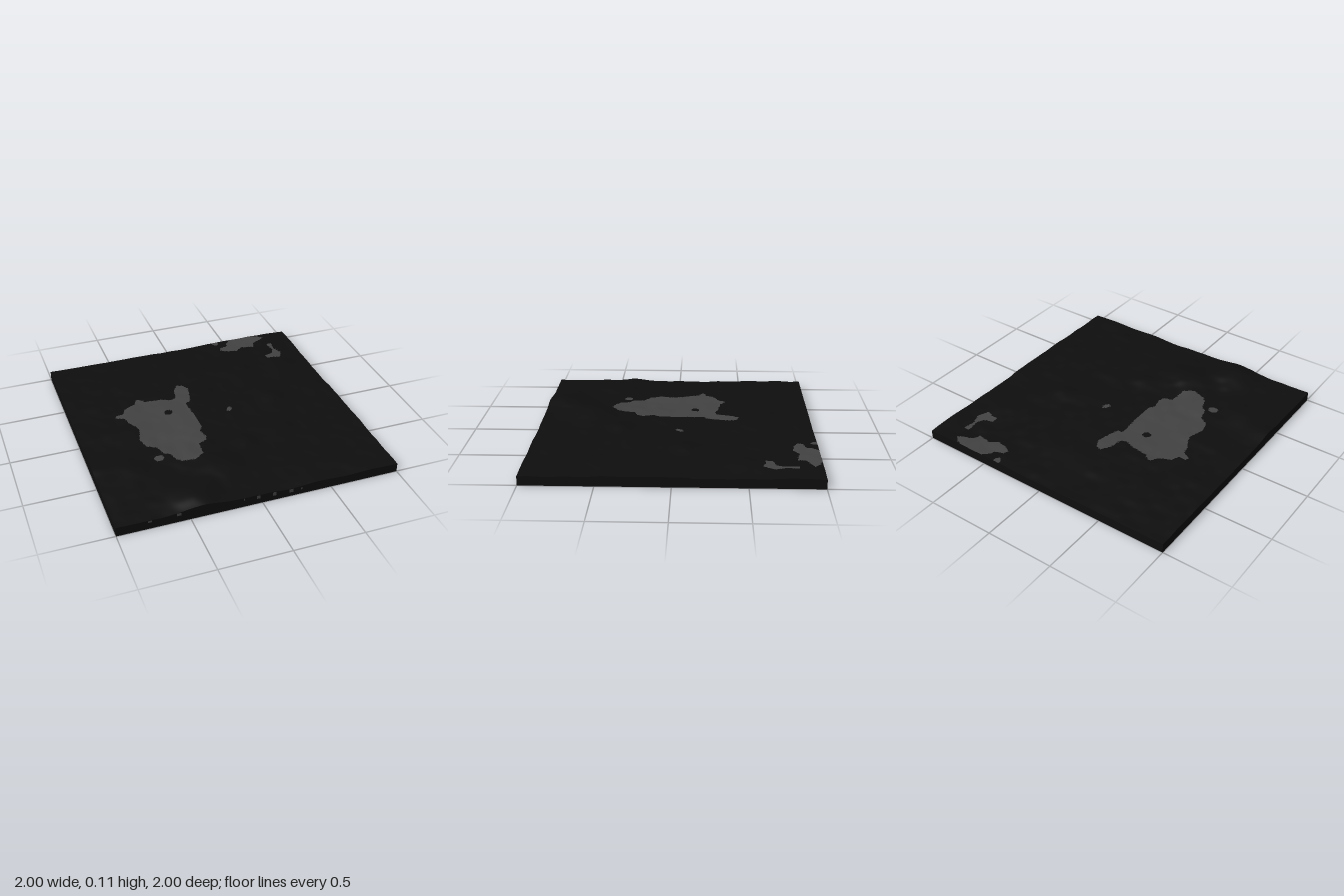
import * as THREE from 'three';

const N = 200;            // terrain cells per side
const LEVEL = 0.067;      // mean ground height

const outline = (flat) => {
  const pts = [];
  for (let i = 0; i < flat.length; i += 2) pts.push(new THREE.Vector2(flat[i], flat[i + 1]));
  return pts;
};
const disc = (x, z, r) => Array.from({ length: 14 }, (_, i) => {
  const a = i / 14 * Math.PI * 2;
  return new THREE.Vector2(x + r * Math.cos(a), z + r * Math.sin(a));
});

// Pale patches as (x, z) outlines
const patches = [
  outline([-.48, -.37, -.45, -.37, -.41, -.33, -.3, -.32, -.22, -.29, -.18, -.31, -.16, -.41, -.12, -.47, -.08, -.46,
    -.05, -.4, -.07, -.3, -.09, -.23, -.13, -.21, -.12, 0, -.12, .13, -.15, .17, -.13, .26, -.15, .3, -.21, .32,
    -.22, .45, -.29, .5, -.38, .48, -.42, .44, -.44, .37, -.48, .35, -.5, .26, -.57, .22, -.59, .13, -.56, .02,
    -.57, -.03, -.61, -.1, -.62, -.16, -.68, -.19, -.67, -.22, -.62, -.22, -.59, -.28, -.5, -.32]),
  disc(-.525, .39, .034),
  outline([.12, -.01, .14, -.05, .17, -.06, .175, -.03, .15, 0]),
  outline([.52, -1, .47, -.95, .47, -.92, .4, -.9, .39, -.86, .45, -.83, .52, -.82, .57, -.86, .68, -.84,
    .69, -.89, .75, -.92, .8, -.94, .77, -.98, .72, -1]),
  outline([.36, -1, .36, -.97, .39, -.95, .41, -.97, .41, -1]),
  outline([.79, -.84, .83, -.84, .82, -.75, .85, -.68, .81, -.6, .76, -.62, .71, -.62, .71, -.67, .78, -.69, .8, -.74]),
];
const darkSpot = disc(-.29, -.14, .03);

function inside(poly, x, z) {
  let hit = false;
  for (let i = 0, j = poly.length - 1; i < poly.length; j = i++) {
    const a = poly[i], b = poly[j];
    if ((a.y > z) !== (b.y > z) && x < (b.x - a.x) * (z - a.y) / (b.y - a.y) + a.x) hit = !hit;
  }
  return hit;
}
const isPale = (x, z) => patches.some((p) => inside(p, x, z)) && !inside(darkSpot, x, z);

// Smooth seeded value noise, -1 to 1
const hash = (i, j) => {
  const s = Math.sin(i * 127.1 + j * 311.7) * 43758.5453;
  return (s - Math.floor(s)) * 2 - 1;
};
function noise(x, z) {
  const i = Math.floor(x), j = Math.floor(z);
  const ease = (t) => t * t * (3 - 2 * t);
  const u = ease(x - i), v = ease(z - j), mix = THREE.MathUtils.lerp;
  return mix(mix(hash(i, j), hash(i + 1, j), u), mix(hash(i, j + 1), hash(i + 1, j + 1), u), v);
}

// Mounds: x, z, height, radius
const mounds = [
  [-.42, .88, .042, .12], [-.2, .63, .03, .12], [-.72, .45, .016, .09], [-.98, .36, .014, .08], [-.05, .62, .015, .1],
  [.11, .4, .02, .06], [.5, -.08, .016, .07], [.75, -.5, .012, .08], [.3, .3, .01, .08],
];
function groundHeight(x, z) {
  let y = LEVEL + .005 * noise(x * 5 + 9, z * 5 + 4) + .003 * noise(x * 13, z * 13);
  for (const [mx, mz, h, r] of mounds) y += h * Math.exp(-((x - mx) ** 2 + (z - mz) ** 2) / (2 * r * r));
  return y;
}

// Height field with one geometry group per colour
function terrainGeometry() {
  const geo = new THREE.PlaneGeometry(2, 2, N, N).rotateX(-Math.PI / 2);
  const pos = geo.attributes.position;
  for (let i = 0; i < pos.count; i++) pos.setY(i, groundHeight(pos.getX(i), pos.getZ(i)));
  const index = geo.index.array, dark = [], pale = [];
  for (let t = 0; t < index.length; t += 3) {
    let x = 0, z = 0;
    for (let k = 0; k < 3; k++) { x += pos.getX(index[t + k]) / 3; z += pos.getZ(index[t + k]) / 3; }
    (isPale(x, z) ? pale : dark).push(index[t], index[t + 1], index[t + 2]);
  }
  geo.setIndex(dark.concat(pale));
  geo.addGroup(0, dark.length, 0);
  geo.addGroup(dark.length, pale.length, 1);
  geo.computeVertexNormals();
  return geo;
}

// Wall strip from the base up to the terrain edge
function wallGeometry(edge) {
  const geo = new THREE.PlaneGeometry(2, 1, N, 1);
  const pos = geo.attributes.position;
  for (let i = 0; i < pos.count; i++) {
    const [x, z] = edge(pos.getX(i));
    pos.setXYZ(i, x, pos.getY(i) > 0 ? groundHeight(x, z) : 0, z);
  }
  geo.computeVertexNormals();
  return geo;
}

export function createModel() {
  const group = new THREE.Group();
  const ground = new THREE.MeshStandardMaterial({ color: 0x0e0e0e });
  ground.name = 'dark ground';
  const stone = new THREE.MeshStandardMaterial({ color: 0x424242 });
  stone.name = 'grey stone';
  const add = (name, geo, mat) => {
    const mesh = new THREE.Mesh(geo, mat);
    mesh.name = name;
    group.add(mesh);
    return mesh;
  };

  add('terrain', terrainGeometry(), [ground, stone]);

  // Side walls
  const walls = {
    frontWall: (t) => [t, 1], backWall: (t) => [-t, -1],
    leftWall: (t) => [1, -t], rightWall: (t) => [-1, t],
  };
  for (const [name, edge] of Object.entries(walls)) add(name, wallGeometry(edge), ground);

  // Underside with the same patches showing through
  add('base', new THREE.PlaneGeometry(2, 2).rotateX(Math.PI / 2), ground).position.y = .002;
  patches.forEach((points, i) => {
    const shape = new THREE.Shape(points);
    if (i === 0) shape.holes.push(new THREE.Path(darkSpot));
    add('undersidePatch', new THREE.ShapeGeometry(shape).rotateX(Math.PI / 2), stone);
  });

  // Pale flecks on the front wall: x, width, bottom, top
  const flecks = [
    [-.775, .025, .05, .07], [-.58, .03, .05, .08], [-.13, .008, .05, .08], [-.03, .025, .04, .08],
    [.085, .024, .035, .068], [.205, .03, .03, .06], [.28, .012, .035, .052],
  ];
  for (const [x, w, y0, y1] of flecks) {
    const top = Math.min(y1, groundHeight(x, 1) - .003);
    add('wallFleck', new THREE.PlaneGeometry(w, top - y0), stone).position.set(x, (top + y0) / 2, 1.001);
  }
  return group;
}
